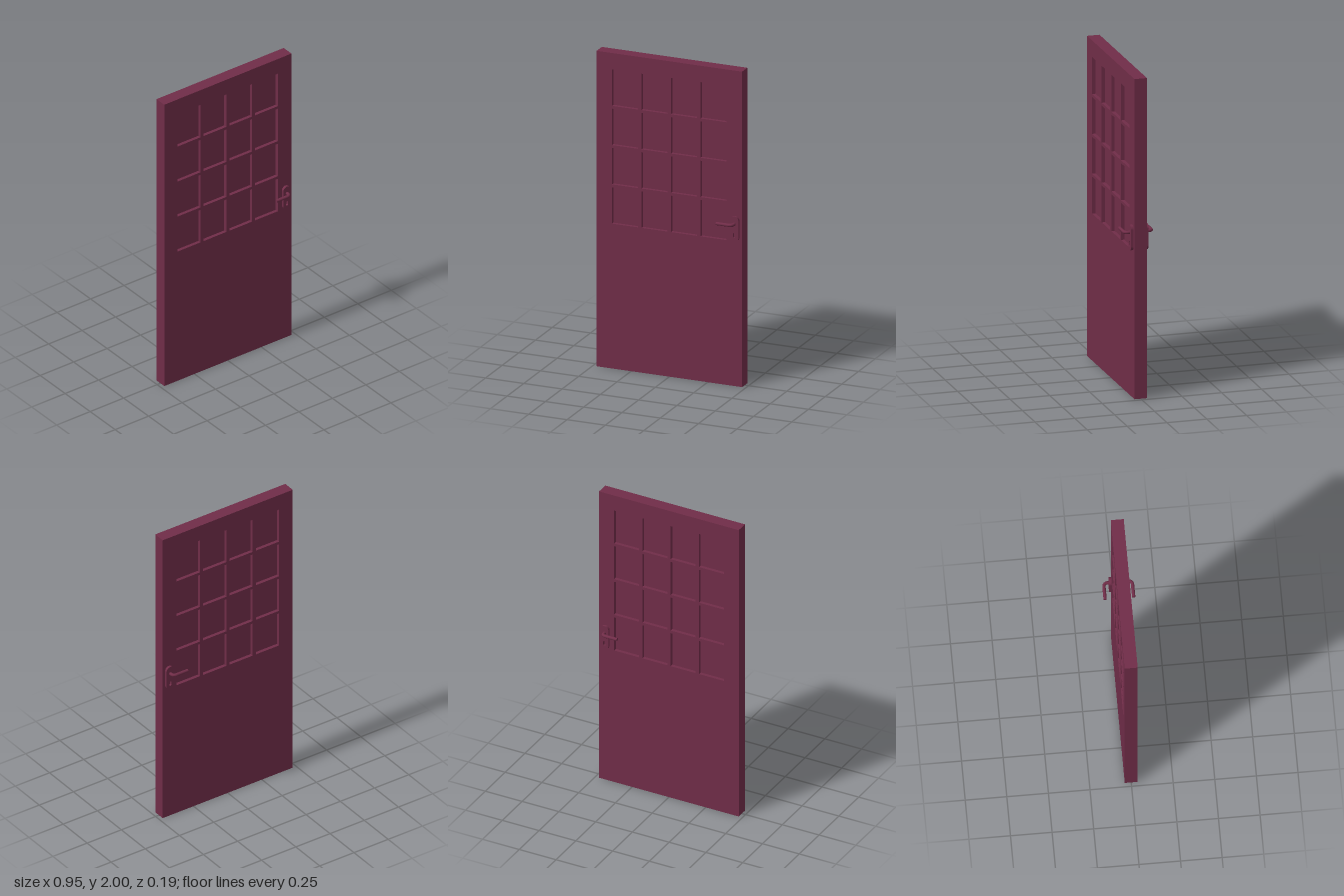
import * as THREE from 'three';

const material = new THREE.MeshStandardMaterial({ color: 0x702d48 });

function add(parent, name, geometry, x = 0, y = 0, z = 0) {
  const mesh = new THREE.Mesh(geometry, material);
  mesh.name = name;
  mesh.position.set(x, y, z);
  parent.add(mesh);
  return mesh;
}

// Closed rectangle path from its centre and size
function rect(path, cx, cy, w, h) {
  path.moveTo(cx - w / 2, cy - h / 2);
  path.lineTo(cx + w / 2, cy - h / 2);
  path.lineTo(cx + w / 2, cy + h / 2);
  path.lineTo(cx - w / 2, cy + h / 2);
  path.closePath();
  return path;
}

// Upright slot with round ends
function slot(path, cx, cy, radius, halfHeight) {
  const s = halfHeight - radius;
  path.moveTo(cx + radius, cy - s);
  path.lineTo(cx + radius, cy + s);
  path.absarc(cx, cy + s, radius, 0, Math.PI, false);
  path.lineTo(cx - radius, cy - s);
  path.absarc(cx, cy - s, radius, Math.PI, Math.PI * 2, false);
  return path;
}

// Plate and lever for the front face
function createHandle() {
  const handle = new THREE.Group();

  const plate = slot(new THREE.Shape(), 0, 0, 0.027, 0.08);
  plate.holes.push(slot(new THREE.Path(), 0, -0.04, 0.008, 0.016));
  add(handle, 'handlePlate', new THREE.ExtrudeGeometry(plate, {
    depth: 0.016, bevelEnabled: false, curveSegments: 12,
  }), 0.43, 1, 0.039);

  // Lever comes straight out, bends and runs towards the middle of the door
  const x = 0.43, y = 1.032, z = 0.086, r = 0.01, bend = 0.025, end = 0.326;
  const v = (a, b) => new THREE.Vector3(a, y, b);
  const path = new THREE.CurvePath();
  path.add(new THREE.LineCurve3(v(x, 0.045), v(x, z - bend)));
  path.add(new THREE.QuadraticBezierCurve3(v(x, z - bend), v(x, z), v(x - bend, z)));
  path.add(new THREE.LineCurve3(v(x - bend, z), v(end, z)));
  add(handle, 'lever', new THREE.TubeGeometry(path, 40, r, 16));
  add(handle, 'leverEnd', new THREE.CircleGeometry(r, 16), end, y, z).rotation.y = -Math.PI / 2;
  return handle;
}

export function createModel() {
  const door = new THREE.Group();
  door.name = 'door';
  const width = 0.95, height = 2, depth = 0.078;

  // Slab with a four by four grid of openings, each closed by a recessed panel
  const slab = rect(new THREE.Shape(), 0, height / 2, width, height);
  const paneW = 0.17, paneH = 0.231, stepX = 0.1925, stepY = 0.249;
  for (let row = 0; row < 4; row++) {
    for (let col = 0; col < 4; col++) {
      const x = (col - 1.5) * stepX - 0.001;
      const y = 1.407 + (row - 1.5) * stepY;
      slab.holes.push(rect(new THREE.Path(), x, y, paneW, paneH));
      add(door, 'panel', new THREE.BoxGeometry(paneW, paneH, 0.035), x, y, 0);
    }
  }
  add(door, 'slab', new THREE.ExtrudeGeometry(slab, { depth, bevelEnabled: false }), 0, 0, -depth / 2);

  // Same handle on both faces
  for (const side of [1, -1]) {
    const handle = createHandle();
    handle.name = side > 0 ? 'frontHandle' : 'backHandle';
    handle.scale.z = side;
    door.add(handle);
  }
  return door;
}
